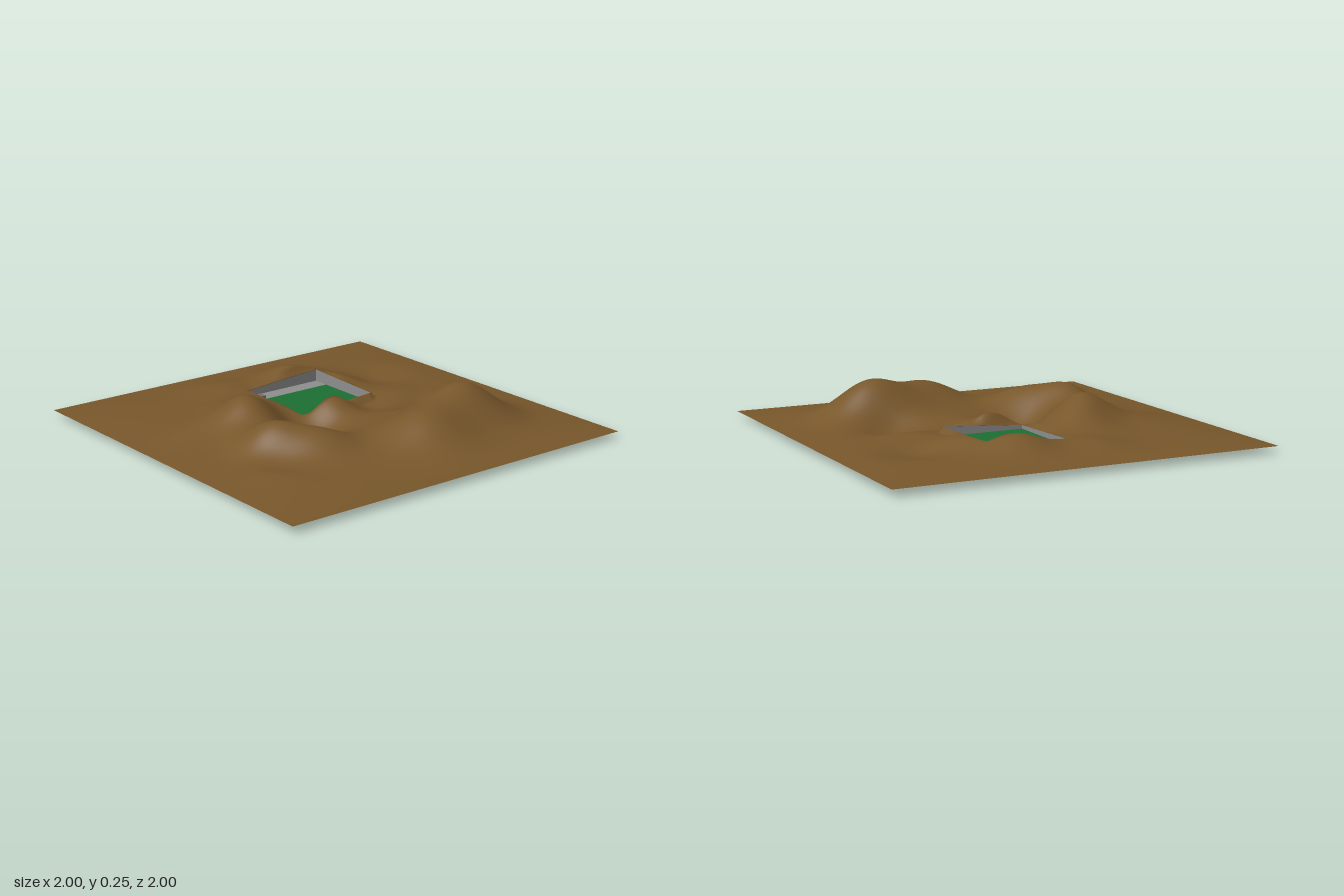
import * as THREE from 'three';

const brown = new THREE.MeshStandardMaterial({ color: 0x78572b, side: THREE.DoubleSide });
brown.name = 'earth brown';
const green = new THREE.MeshStandardMaterial({ color: 0x1c7034 });
green.name = 'lawn green';
const grey = new THREE.MeshStandardMaterial({ color: 0x8e8e8e });
grey.name = 'concrete grey';
const darkGrey = new THREE.MeshStandardMaterial({ color: 0x747474 });
darkGrey.name = 'block grey';

// Sunken court cut into the terrain
const PIT = { x0: -0.1, x1: 0.34, z0: -0.56, z1: -0.1, floor: 0.036 };

// Mounds and hollows: x, z, height, radius
const BUMPS = [
  // front ridge with a hollow behind it
  [0.5, 0.42, 0.205, 0.235], [0.13, 0.57, 0.14, 0.23], [0.5, 0.16, -0.1, 0.17],
  [0.5, -0.02, 0.025, 0.14],
  // left hills and the spur running to the back
  [-0.42, -0.14, 0.135, 0.17], [-0.3, -0.32, 0.055, 0.15], [-0.53, 0.2, 0.12, 0.16],
  [-0.35, 0.36, 0.09, 0.18], [-0.7, -0.2, 0.03, 0.18], [-0.72, 0.5, 0.03, 0.15],
  // hollows
  [-0.16, 0.06, -0.075, 0.15], [-0.63, 0.42, -0.03, 0.13], [0.62, -0.4, -0.04, 0.16],
  [0.24, -0.03, -0.025, 0.12],
  // rises around the court
  [0.2, -0.63, 0.085, 0.17], [-0.17, -0.7, 0.035, 0.16], [0.37, -0.4, 0.04, 0.14],
  [0.06, -0.08, 0.07, 0.13],
];

function groundHeight(x, z) {
  const fade = (1 - x ** 4) * (1 - z ** 4);
  let h = 0.03;
  for (const [bx, bz, height, r] of BUMPS) {
    h += height * Math.exp(-((x - bx) ** 2 + (z - bz) ** 2) / (r * r));
  }
  return Math.max(0, 0.035 + h * fade);
}

// Straight, gently tilted rim of the court
const rimHeight = (x, z) => 0.079 + 0.07 * x - 0.03 * (z + 0.56);

// Rolling ground sheet, with the court's rectangle left open
function terrainGeometry() {
  const geo = new THREE.PlaneGeometry(2, 2, 100, 100).rotateX(-Math.PI / 2);
  const p = geo.attributes.position;
  const inPit = (x, z, m) => x > PIT.x0 - m && x < PIT.x1 + m && z > PIT.z0 - m && z < PIT.z1 + m;
  for (let i = 0; i < p.count; i++) {
    const x = p.getX(i), z = p.getZ(i);
    p.setY(i, inPit(x, z, 0.005) ? rimHeight(x, z) : groundHeight(x, z));
  }
  geo.computeVertexNormals();
  const src = geo.index.array;
  const kept = [];
  for (let i = 0; i < src.length; i += 3) {
    const tri = [src[i], src[i + 1], src[i + 2]];
    const cx = tri.reduce((s, v) => s + p.getX(v), 0) / 3;
    const cz = tri.reduce((s, v) => s + p.getZ(v), 0) / 3;
    if (!inPit(cx, cz, 0)) kept.push(...tri);
  }
  geo.setIndex(kept);
  return geo;
}

// Vertical wall from the floor to the rim
function wallGeometry(ax, az, bx, bz) {
  const geo = new THREE.BufferGeometry();
  geo.setAttribute('position', new THREE.Float32BufferAttribute([
    ax, PIT.floor, az, bx, PIT.floor, bz,
    ax, rimHeight(ax, az), az, bx, rimHeight(bx, bz), bz,
  ], 3));
  geo.setIndex([0, 1, 2, 2, 1, 3]);
  geo.computeVertexNormals();
  return geo;
}

export function createModel() {
  const model = new THREE.Group();
  model.name = 'terrain';
  const add = (name, geo, mat) => {
    const mesh = new THREE.Mesh(geo, mat);
    mesh.name = name;
    model.add(mesh);
    return mesh;
  };
  const panel = (name, x0, x1, z0, z1, y, mat) =>
    add(name, new THREE.PlaneGeometry(x1 - x0, z1 - z0).rotateX(-Math.PI / 2), mat)
      .position.set((x0 + x1) / 2, y, (z0 + z1) / 2);

  add('ground', terrainGeometry(), brown);

  // Concrete lining facing inward, with earth just behind it
  const lining = (name, inset, mat) => {
    const x0 = PIT.x0 + inset, x1 = PIT.x1 - inset;
    const z0 = PIT.z0 + inset, z1 = PIT.z1 - inset;
    const corners = [[x0, z0], [x1, z0], [x1, z1], [x0, z1]];
    corners.forEach((c, i) => add(name, wallGeometry(...c, ...corners[(i + 1) % 4]), mat));
  };
  lining('earthBank', 0, brown);
  lining('courtWall', 0.004, grey);

  // Floor: earth below, lawn, and a paved strip along the back
  const { x0, x1, z0, z1, floor } = PIT;
  panel('earthFloor', x0, x1, z0, z1, floor, brown);
  panel('lawn', x0, x1, -0.47, z1, floor + 0.004, green);
  panel('paving', x0, x1, z0, -0.47, floor + 0.004, grey);

  // Small block on the paving
  add('block', new THREE.BoxGeometry(0.045, 0.02, 0.045), darkGrey).position.set(-0.077, floor + 0.012, -0.493);
  return model;
}
